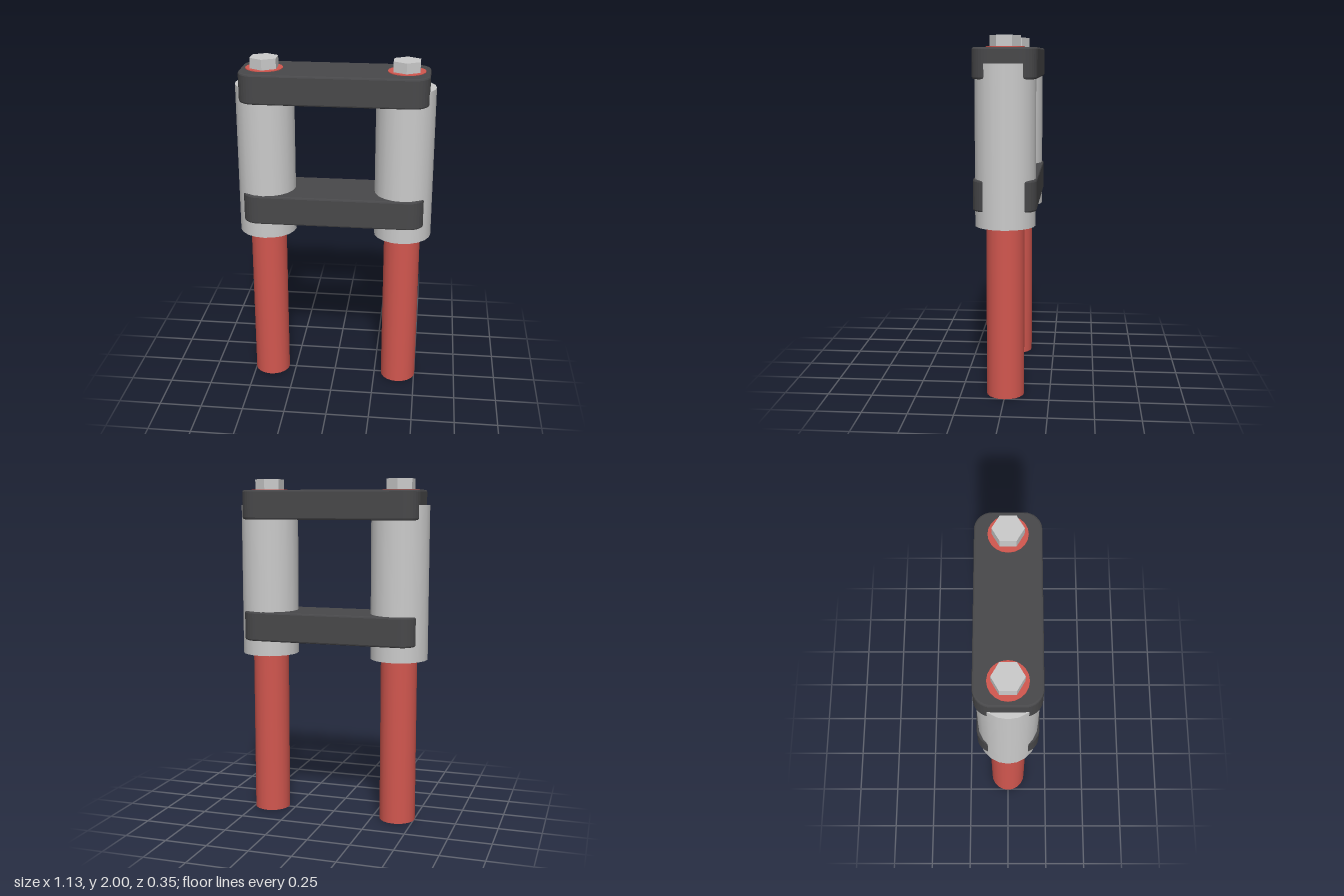
import * as THREE from 'three';

const grey = new THREE.MeshStandardMaterial({ color: 0xcccccc });
const boltGrey = new THREE.MeshStandardMaterial({ color: 0xcccccc, flatShading: true });
const red = new THREE.MeshStandardMaterial({ color: 0xd2574f });
const dark = new THREE.MeshStandardMaterial({ color: 0x48484a });

const BEVEL = 0.01;

function add(parent, name, geometry, material, x = 0, y = 0) {
  const mesh = new THREE.Mesh(geometry, material);
  mesh.name = name;
  mesh.position.set(x, y, 0);
  parent.add(mesh);
}

// Upright cylinder standing between two heights
function post(parent, name, radius, y0, y1, sides, material) {
  const geometry = new THREE.CylinderGeometry(radius, radius, y1 - y0, sides);
  add(parent, name, geometry, material, 0, (y0 + y1) / 2);
}

// Horizontal slab with rounded corners and a small bevelled rim
function plateGeometry(halfX, halfZ, height, corner) {
  const x = halfX - BEVEL, z = halfZ - BEVEL, r = corner - BEVEL;
  const shape = new THREE.Shape();
  shape.absarc(x - r, z - r, r, 0, Math.PI / 2);
  shape.absarc(r - x, z - r, r, Math.PI / 2, Math.PI);
  shape.absarc(r - x, r - z, r, Math.PI, Math.PI * 1.5);
  shape.absarc(x - r, r - z, r, Math.PI * 1.5, Math.PI * 2);
  shape.closePath();
  const geometry = new THREE.ExtrudeGeometry(shape, {
    depth: height - 2 * BEVEL, curveSegments: 4,
    bevelEnabled: true, bevelSize: BEVEL, bevelThickness: BEVEL, bevelSegments: 2,
  });
  return geometry.rotateX(-Math.PI / 2).translate(0, BEVEL, 0);
}

export function createModel() {
  const model = new THREE.Group();
  model.name = 'twinTubeFork';

  // Pair of legs: inner rod, outer sleeve and hexagonal top bolt
  for (const side of [1, -1]) {
    const leg = new THREE.Group();
    leg.name = side > 0 ? 'leftLeg' : 'rightLeg';
    leg.position.x = side * 0.398;
    post(leg, 'rod', 0.106, 0, 1.941, 20, red);
    post(leg, 'sleeve', 0.167, 0.97, 1.852, 20, grey);
    post(leg, 'hexBolt', 0.085, 1.9, 2, 6, boltGrey);
    model.add(leg);
  }

  // Clamping plates joining the legs
  add(model, 'upperClamp', plateGeometry(0.53, 0.176, 0.168, 0.095), dark, 0, 1.769);
  add(model, 'lowerClamp', plateGeometry(0.525, 0.175, 0.173, 0.095), dark, 0, 1.058);

  return model;
}
